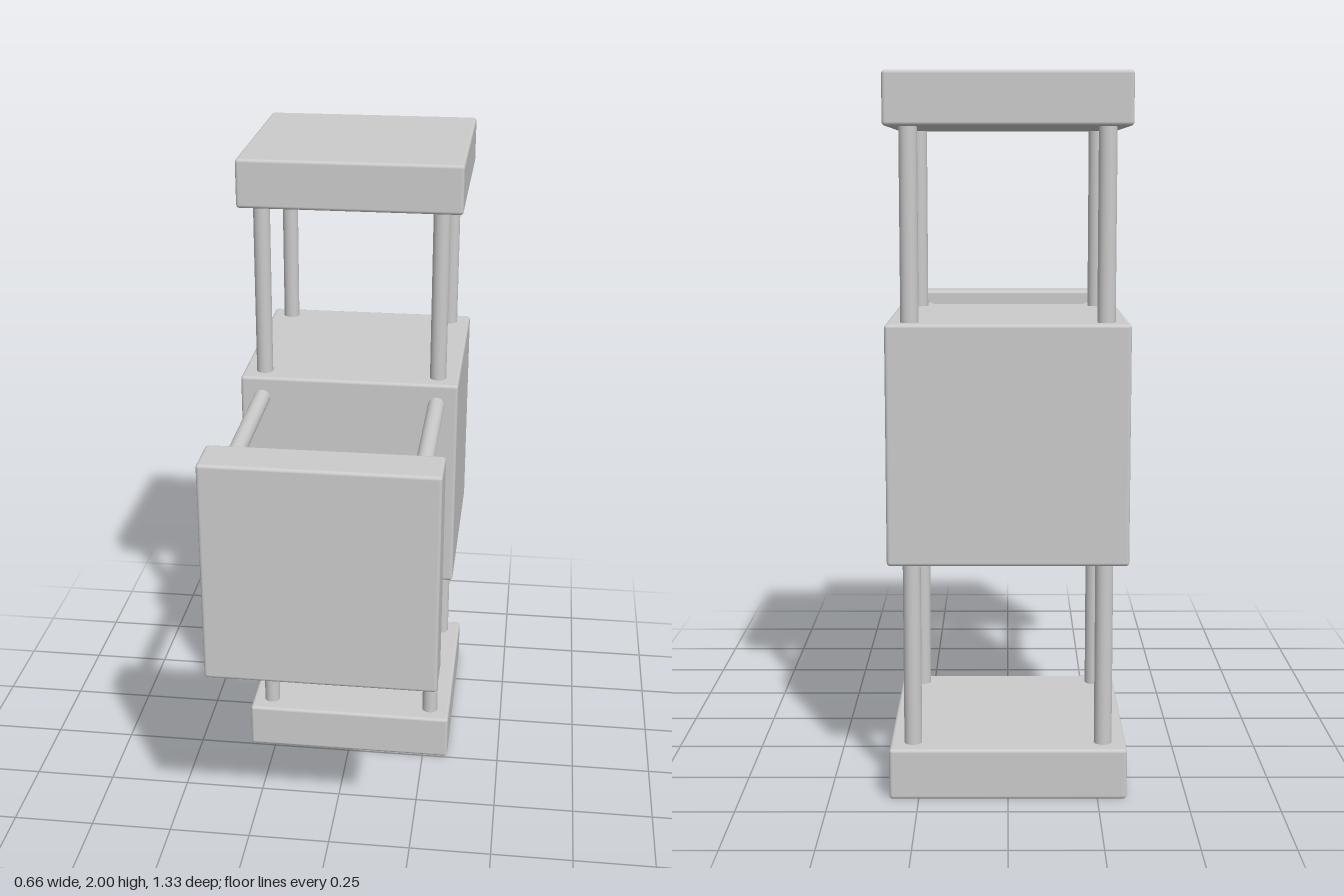
import * as THREE from 'three';
import { RoundedBoxGeometry } from 'three/addons/geometries/RoundedBoxGeometry.js';

const SIZE = 0.664;      // edge of the core cube and of every plate
const PLATE = 0.145;     // plate thickness
const REACH = 1.0;       // core centre to outer face of a plate
const ROD_OFFSET = 0.267;
const ROD_RADIUS = 0.025;

export function createModel() {
  const model = new THREE.Group();
  model.name = 'pistonBlock';
  const material = new THREE.MeshStandardMaterial({ color: 0xcccccc });

  function add(parent, name, geometry, x, y, z) {
    const mesh = new THREE.Mesh(geometry, material);
    mesh.name = name;
    mesh.position.set(x, y, z);
    parent.add(mesh);
  }

  const assembly = new THREE.Group();
  assembly.name = 'assembly';
  assembly.position.set(0, 1, -0.333);
  model.add(assembly);

  // Central cube
  add(assembly, 'coreCube', new RoundedBoxGeometry(SIZE, SIZE, SIZE, 2, 0.01), 0, 0, 0);

  // A plate on four rods, built pointing up from the core
  const plateGeometry = new RoundedBoxGeometry(SIZE, PLATE, SIZE, 2, 0.01);
  const rodStart = SIZE / 2 - 0.02;
  const rodEnd = REACH - PLATE + 0.02;
  const rodGeometry = new THREE.CylinderGeometry(ROD_RADIUS, ROD_RADIUS, rodEnd - rodStart, 24);

  function addArm(name, tilt) {
    const arm = new THREE.Group();
    arm.name = name;
    arm.rotation.x = tilt;
    add(arm, 'plate', plateGeometry, 0, REACH - PLATE / 2, 0);
    for (const sx of [-1, 1]) {
      for (const sz of [-1, 1]) {
        add(arm, 'rod', rodGeometry, sx * ROD_OFFSET, (rodStart + rodEnd) / 2, sz * ROD_OFFSET);
      }
    }
    assembly.add(arm);
  }

  addArm('topArm', 0);
  addArm('frontArm', Math.PI / 2);
  addArm('bottomArm', Math.PI);

  return model;
}
